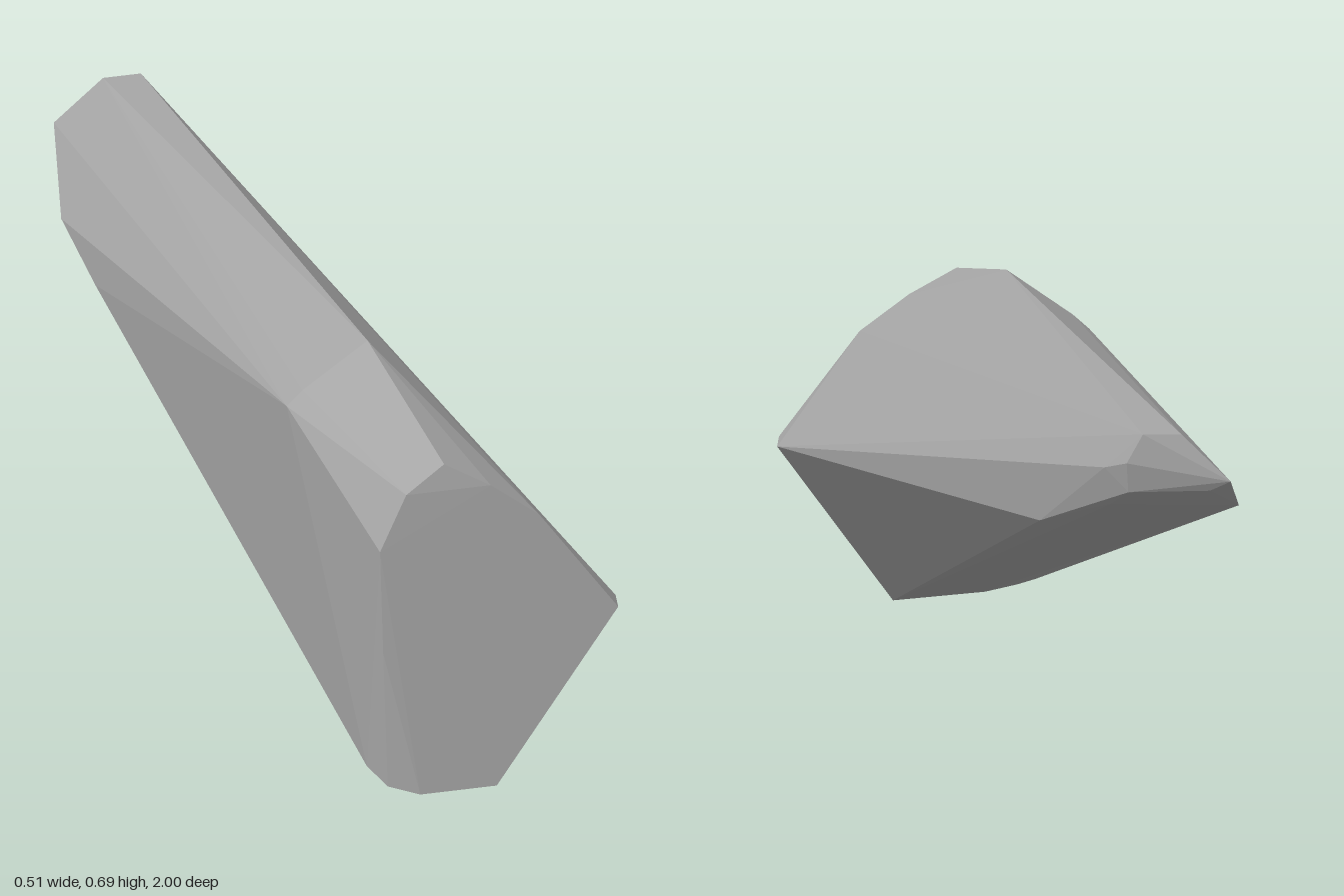
import * as THREE from 'three';
import { ConvexGeometry } from 'three/addons/geometries/ConvexGeometry.js';

export function createModel() {
  const group = new THREE.Group();
  group.name = 'rockShard';
  const stone = new THREE.MeshStandardMaterial({ color: 0xa6a6a6, flatShading: true });
  stone.name = 'grey stone';

  // Broad front facet
  const front = [
    [-0.205, 0.015, 0.98], [-0.15, 0, 1], [-0.005, 0, 1], [0.235, 0.305, 0.97],
    [0.09, 0.495, 0.955], [0, 0.56, 0.95], [-0.085, 0.607, 0.94],
    [-0.16, 0.56, 0.95], [-0.213, 0.46, 0.96], [-0.212, 0.27, 0.975],
  ];
  // Bevel behind the front facet and the raised hump on top
  const shoulder = [
    [0.253, 0.3, 0.9], [0.04, 0.01, 0.9], [-0.225, 0.035, 0.92],
    [-0.235, 0.573, 0.49], [-0.205, 0.6, 0.49], [-0.085, 0.685, 0.5],
  ];
  // Underside edges rising towards the tail
  const underside = [
    [0.066, 0.42, -0.52], [0, 0.505, -0.83],
    [-0.255, 0.43, -0.55], [-0.25, 0.48, -0.76],
  ];
  // Blunt narrow tail
  const tail = [
    [0.02, 0.58, -0.87], [0, 0.605, -0.97], [-0.03, 0.657, -0.97],
    [-0.1, 0.655, -0.975], [-0.185, 0.57, -1], [-0.15, 0.552, -0.985],
    [-0.005, 0.55, -0.96],
  ];

  const points = [...front, ...shoulder, ...underside, ...tail]
    .map((p) => new THREE.Vector3(...p));
  const shard = new THREE.Mesh(new ConvexGeometry(points), stone);
  shard.name = 'shard';
  group.add(shard);
  return group;
}
